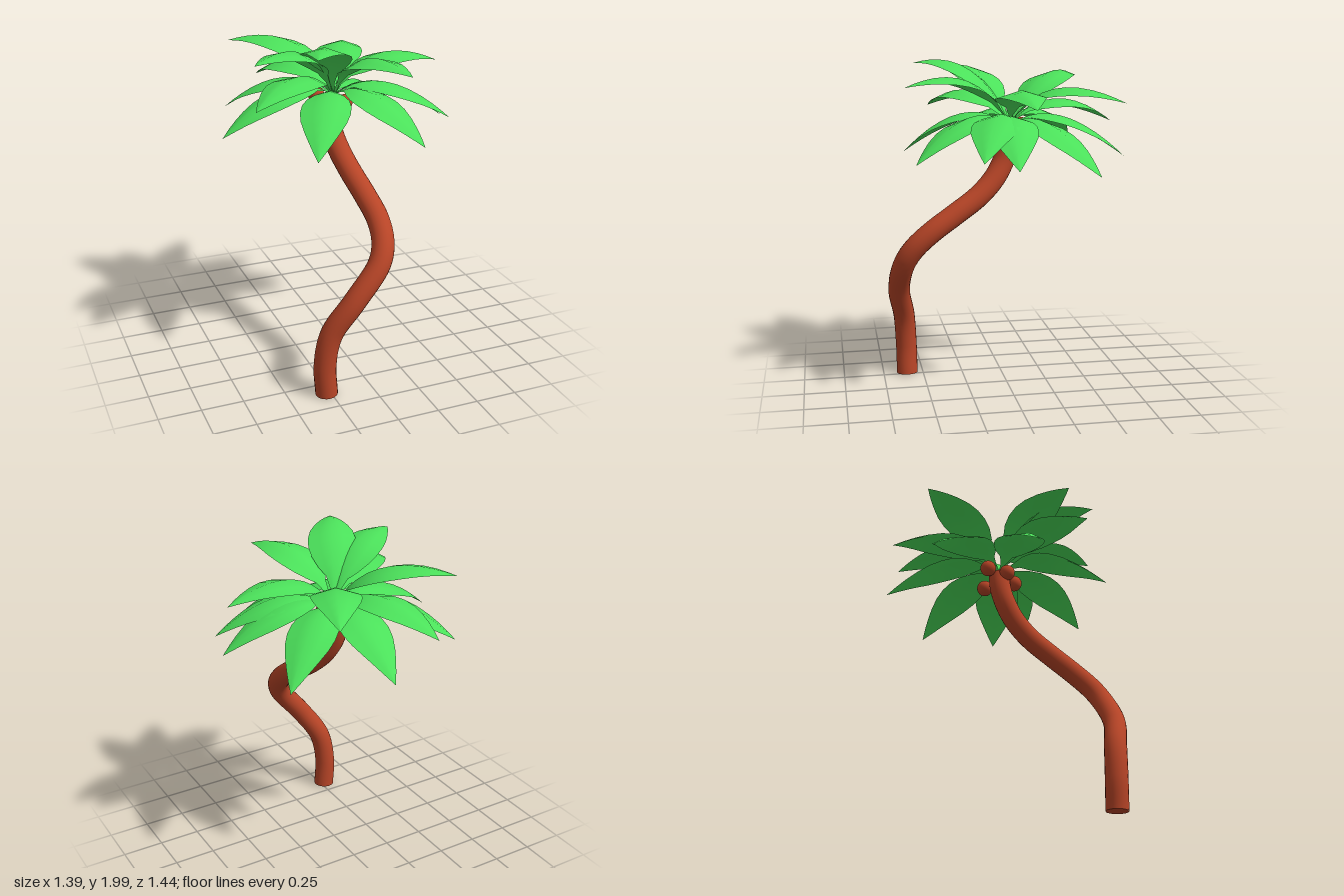
import * as THREE from 'three';

const V = (x, y, z) => new THREE.Vector3(x, y, z);
const bark = new THREE.MeshStandardMaterial({ color: 0xb84527 });
const green = new THREE.MeshStandardMaterial({ color: 0x4be05a, side: THREE.DoubleSide });

function add(parent, name, geometry, material) {
  const mesh = new THREE.Mesh(geometry, material);
  mesh.name = name;
  parent.add(mesh);
  return mesh;
}

// Half width of a frond, from stalk to tip, as [t, half width]
const WIDTHS = [[0, 0.012], [0.1, 0.014], [0.2, 0.04], [0.28, 0.085], [0.38, 0.122], [0.48, 0.14],
  [0.58, 0.142], [0.68, 0.128], [0.78, 0.098], [0.86, 0.067], [0.93, 0.036], [1, 0]];

// Frond: an arched midrib with a blade that folds down to both sides.
// reach places the crest of the arch, bow swings the blade sideways.
function frondGeometry([x, y, z, bow = 0], reach) {
  const root = V(0.012, 1.62, -0.015);
  const tip = V(x, y, z);
  const side = V(z, 0, -x).normalize();
  const bend = V(x * reach, (root.y + y) / 2 + 0.3, z * reach).addScaledVector(side, bow);
  const rib = new THREE.QuadraticBezierCurve3(root, bend, tip);
  const across = 4;
  const positions = [], index = [];
  WIDTHS.forEach(([t, w], i) => {
    const p = rib.getPoint(t);
    for (let j = 0; j <= across; j++) {
      const s = (j / across) * 2 - 1;
      const q = p.clone().addScaledVector(side, s * w);
      positions.push(q.x, q.y - Math.abs(s) * w * 0.3, q.z);
      if (i && j) {
        const d = i * (across + 1) + j, c = d - 1, b = d - across - 1, a = b - 1;
        index.push(a, b, c, b, d, c);
      }
    }
  });
  const geometry = new THREE.BufferGeometry();
  geometry.setAttribute('position', new THREE.Float32BufferAttribute(positions, 3));
  geometry.setIndex(index);
  geometry.computeVertexNormals();
  return geometry;
}

export function createModel() {
  const palm = new THREE.Group();
  palm.name = 'palmTree';

  // Winding trunk with closed ends
  const path = new THREE.CatmullRomCurve3([
    V(-0.275, 0.01, 0.6), V(-0.285, 0.2, 0.602), V(-0.25, 0.4, 0.615), V(-0.125, 0.6, 0.652),
    V(0.035, 0.8, 0.63), V(0.08, 0.9, 0.575), V(0.094, 1, 0.47), V(0.075, 1.1, 0.325),
    V(0.045, 1.2, 0.18), V(0.015, 1.3, 0.08), V(-0.008, 1.4, 0.02), V(-0.012, 1.5, -0.012),
    V(-0.005, 1.6, -0.02),
  ]);
  const radius = 0.066;
  add(palm, 'trunk', new THREE.TubeGeometry(path, 64, radius, 20), bark);
  for (const [t, name, sign] of [[0, 'trunkBase', -1], [1, 'trunkTop', 1]]) {
    const cap = add(palm, name, new THREE.CircleGeometry(radius, 20), bark);
    cap.position.copy(path.getPointAt(t));
    cap.quaternion.setFromUnitVectors(V(0, 0, 1), path.getTangentAt(t).multiplyScalar(sign));
  }

  // Coconuts hanging under the crown
  const nut = new THREE.SphereGeometry(0.049, 20, 14);
  const nuts = new THREE.Group();
  nuts.name = 'coconuts';
  palm.add(nuts);
  for (const [x, y, z] of [[-0.065, 1.59, 0.02], [0.02, 1.565, 0.08], [0.085, 1.565, -0.02],
    [0.07, 1.54, -0.1], [-0.065, 1.61, -0.1]]) {
    add(nuts, 'coconut', nut, bark).position.set(x, y, z);
  }

  // Crown: each frond is given by its tip, and a sideways bow where it has one
  const crown = new THREE.Group();
  crown.name = 'crown';
  palm.add(crown);
  const upperTips = [[-0.29, 1.975, 0.53], [0.215, 1.86, 0.625], [0.695, 1.765, -0.04],
    [0.345, 1.765, -0.64], [-0.475, 1.88, -0.53, -0.1], [-0.57, 1.92, 0.31]];
  const lowerTips = [[-0.24, 1.61, -0.71], [0.045, 1.42, -0.72], [0.535, 1.37, -0.445],
    [0.695, 1.44, 0.055], [0.655, 1.48, 0.24], [0.33, 1.435, 0.575], [-0.315, 1.435, 0.59],
    [-0.6, 1.695, 0.41], [-0.7, 1.465, 0.09], [-0.515, 1.475, -0.5]];
  for (const tip of upperTips) add(crown, 'upperFrond', frondGeometry(tip, 0.32), green);
  for (const tip of lowerTips) add(crown, 'lowerFrond', frondGeometry(tip, 0.42), green);

  return palm;
}
